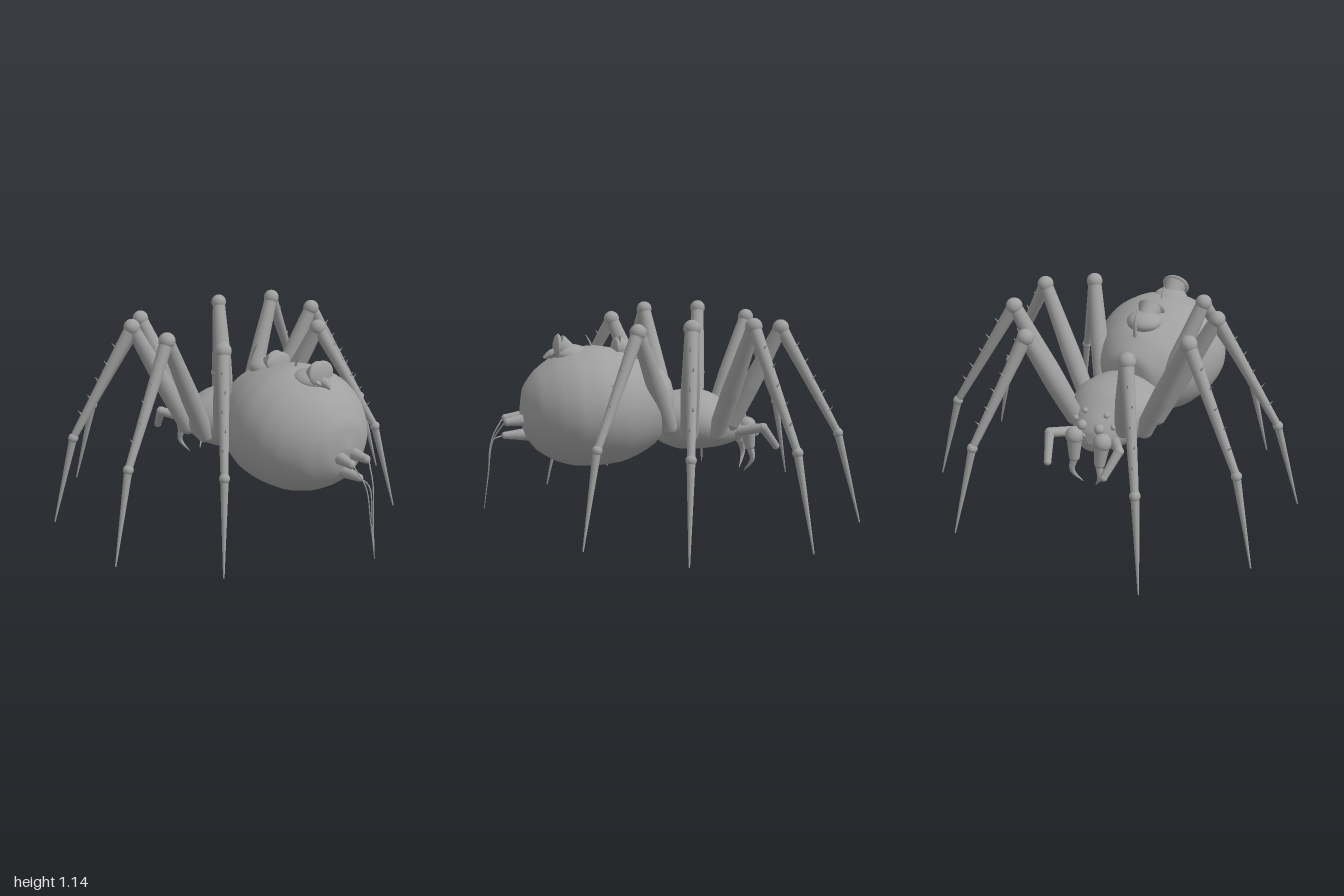
import * as THREE from 'three';

const grey = new THREE.MeshStandardMaterial({ color: 0xa0a0a0 });
grey.name = 'plain grey';
const V = (x, y, z) => new THREE.Vector3(x, y, z);

function add(parent, name, geometry) {
  const mesh = new THREE.Mesh(geometry, grey);
  mesh.name = name;
  parent.add(mesh);
  return mesh;
}

function ball(parent, name, p, rx, ry = rx, rz = rx) {
  const m = add(parent, name, new THREE.SphereGeometry(1, 24, 16));
  m.position.copy(p);
  m.scale.set(rx, ry, rz);
  return m;
}

// Tapered round bar from a to b
function bar(parent, name, a, b, ra, rb) {
  const m = add(parent, name, new THREE.CylinderGeometry(rb, ra, a.distanceTo(b), 16));
  m.position.copy(a).lerp(b, 0.5);
  m.quaternion.setFromUnitVectors(V(0, 1, 0), b.clone().sub(a).normalize());
  return m;
}

// Curved tube that narrows from r0 to r1
function horn(parent, name, points, r0, r1, segments = 14, sides = 10) {
  const curve = new THREE.CatmullRomCurve3(points);
  const g = new THREE.TubeGeometry(curve, segments, 1, sides);
  const pos = g.attributes.position;
  const p = V(0, 0, 0);
  for (let i = 0; i < pos.count; i++) {
    const t = Math.floor(i / (sides + 1)) / segments;
    const c = curve.getPointAt(t);
    p.fromBufferAttribute(pos, i).sub(c).multiplyScalar(r0 + (r1 - r0) * t).add(c);
    pos.setXYZ(i, p.x, p.y, p.z);
  }
  g.computeVertexNormals();
  return add(parent, name, g);
}

// Smooth body through elliptical sections [z, centre y, half width, half height]
function loftBody(parent, name, sections) {
  const centres = new THREE.CatmullRomCurve3(sections.map(s => V(0, s[1], s[0])));
  const radii = new THREE.CatmullRomCurve3(sections.map(s => V(s[2], s[3], 0)));
  const rings = (sections.length - 1) * 5, sides = 48;
  const pos = [], index = [];
  for (let i = 0; i <= rings; i++) {
    const c = centres.getPoint(i / rings), r = radii.getPoint(i / rings);
    for (let j = 0; j < sides; j++) {
      const a = j / sides * Math.PI * 2;
      pos.push(Math.max(r.x, 0) * Math.cos(a), c.y + Math.max(r.y, 0) * Math.sin(a), c.z);
      if (i === rings) continue;
      const k = i * sides + j, n = i * sides + (j + 1) % sides;
      index.push(k, n, n + sides, k, n + sides, k + sides);
    }
  }
  const g = new THREE.BufferGeometry();
  g.setAttribute('position', new THREE.Float32BufferAttribute(pos, 3));
  g.setIndex(index);
  g.computeVertexNormals();
  return add(parent, name, g);
}

// Leg from hip over the knee to the foot, with bristles along the shin
function leg(parent, name, hip, knee, ankle, foot) {
  const g = new THREE.Group();
  g.name = name;
  const mid = hip.clone().lerp(knee, 0.4);
  ball(g, 'hip', hip, 0.05);
  bar(g, 'lowerThigh', hip, mid, 0.05, 0.052);
  bar(g, 'upperThigh', mid, knee, 0.052, 0.037);
  ball(g, 'knee', knee, 0.045);
  bar(g, 'shin', knee, ankle, 0.036, 0.02);
  ball(g, 'ankle', ankle, 0.028);
  bar(g, 'foot', ankle, foot, 0.022, 0.004);
  const dir = ankle.clone().sub(knee).normalize();
  const side = V(dir.z, 0, -dir.x).normalize();
  const out = side.clone().cross(dir).normalize();
  if (out.y < 0) out.negate();
  for (let i = 0; i < 5; i++) {
    const t = 0.2 + i * 0.15;
    const a = knee.clone().lerp(ankle, t)
      .addScaledVector(out, 0.028 - t * 0.012)
      .addScaledVector(side, (i % 2 ? 1 : -1) * 0.008);
    const b = a.clone().addScaledVector(out, 0.03).addScaledVector(dir, -0.012);
    bar(g, 'bristle', a, b, 0.005, 0.001);
  }
  parent.add(g);
}

export function createModel() {
  const model = new THREE.Group();
  model.name = 'spider';

  loftBody(model, 'abdomen', [
    [-0.065, 0.65, 0, 0], [-0.05, 0.64, 0.14, 0.13], [0.05, 0.625, 0.25, 0.235],
    [0.15, 0.62, 0.31, 0.285], [0.25, 0.62, 0.355, 0.318], [0.38, 0.625, 0.378, 0.332],
    [0.5, 0.62, 0.365, 0.322], [0.6, 0.615, 0.32, 0.287], [0.7, 0.61, 0.235, 0.22],
    [0.765, 0.61, 0.13, 0.13], [0.79, 0.61, 0, 0],
  ]);
  loftBody(model, 'headAndThorax', [
    [-0.5, 0.45, 0, 0], [-0.485, 0.455, 0.08, 0.06], [-0.45, 0.47, 0.115, 0.092],
    [-0.38, 0.49, 0.17, 0.128], [-0.3, 0.51, 0.22, 0.158], [-0.2, 0.52, 0.25, 0.17],
    [-0.1, 0.52, 0.235, 0.163], [0, 0.53, 0.18, 0.13], [0.06, 0.53, 0, 0],
  ]);

  // Raised spouts with flared lips on the back, each led by a small hook
  const spouts = [[0.16, 0.9, 0.25, 0.945, 0.055], [0.5, 0.915, 0.575, 0.965, 0.065]];
  for (const [z, y, lipZ, lipY, lipR] of spouts) {
    ball(model, 'spout', V(0, y, z), 0.1, 0.055, 0.1);
    bar(model, 'spoutNeck', V(0, y, z), V(0, lipY, lipZ), 0.05, 0.068);
    ball(model, 'spoutLip', V(0, lipY, lipZ), 0.085, lipR, 0.02).rotation.x = -0.15;
    horn(model, 'backHook', [V(0, y - 0.06, z - 0.11), V(0, y + 0.04, z - 0.115),
      V(0, y + 0.105, z - 0.085)], 0.015, 0.002);
  }
  horn(model, 'backPoint', [V(0, 0.9, 0.55), V(0, 0.92, 0.6), V(0, 0.9, 0.65)], 0.05, 0.008);

  // Lower spinneret and its thread
  bar(model, 'lowerSpinneret', V(0, 0.48, 0.72), V(0, 0.48, 0.87), 0.04, 0.02);
  ball(model, 'lowerSpinneretTip', V(0, 0.48, 0.87), 0.02);
  horn(model, 'middleThread', [V(0, 0.48, 0.88), V(0, 0.455, 0.94), V(0, 0.26, 0.97),
    V(0, 0.07, 0.998)], 0.004, 0.002, 24, 6);

  for (const s of [1, -1]) {
    const side = s > 0 ? 'left' : 'right';
    const P = (x, y, z) => V(s * x, y, z);

    leg(model, side + 'FrontLeg', P(0.15, 0.52, -0.38), P(0.29, 1.062, -0.61), P(0.475, 0.5, -0.885), P(0.553, 0.005, -0.997));
    leg(model, side + 'SecondLeg', P(0.22, 0.48, -0.275), P(0.51, 1.1, -0.375), P(0.845, 0.5, -0.5), P(0.97, 0.005, -0.55));
    leg(model, side + 'ThirdLeg', P(0.22, 0.48, -0.115), P(0.52, 1.1, -0.04), P(0.86, 0.5, 0.06), P(0.995, 0.005, 0.105));
    leg(model, side + 'RearLeg', P(0.18, 0.52, -0.01), P(0.34, 1.065, 0.2), P(0.555, 0.5, 0.465), P(0.643, 0.005, 0.56));

    // Jaws and fangs
    ball(model, 'jawBase', P(0.085, 0.48, -0.5), 0.05);
    bar(model, 'jaw', P(0.085, 0.48, -0.5), P(0.078, 0.36, -0.52), 0.045, 0.03);
    ball(model, 'jawTip', P(0.078, 0.36, -0.52), 0.03);
    horn(model, 'fang', [P(0.075, 0.36, -0.52), P(0.085, 0.28, -0.535), P(0.04, 0.2, -0.5)], 0.024, 0.002);

    // Feelers
    bar(model, 'feelerBase', P(0.1, 0.45, -0.4), P(0.21, 0.49, -0.55), 0.03, 0.026);
    ball(model, 'feelerElbow', P(0.21, 0.49, -0.55), 0.027);
    bar(model, 'feelerEnd', P(0.21, 0.49, -0.55), P(0.17, 0.37, -0.645), 0.026, 0.02);
    ball(model, 'feelerTip', P(0.17, 0.37, -0.645), 0.021);

    // Eyes
    ball(model, 'largeEye', P(0.052, 0.54, -0.475), 0.028);
    ball(model, 'upperEye', P(0.065, 0.596, -0.415), 0.016);
    ball(model, 'sideEye', P(0.115, 0.545, -0.43), 0.016);
    ball(model, 'lowerEye', P(0.035, 0.485, -0.485), 0.014);

    // Upper spinnerets and threads
    bar(model, 'upperSpinneret', P(0.045, 0.575, 0.72), P(0.055, 0.565, 0.86), 0.04, 0.022);
    ball(model, 'upperSpinneretTip', P(0.055, 0.565, 0.86), 0.023);
    horn(model, 'sideThread', [P(0.055, 0.56, 0.88), P(0.026, 0.46, 0.94), P(0.01, 0.26, 0.97),
      P(0, 0.07, 0.998)], 0.004, 0.002, 24, 6);
  }
  return model;
}
